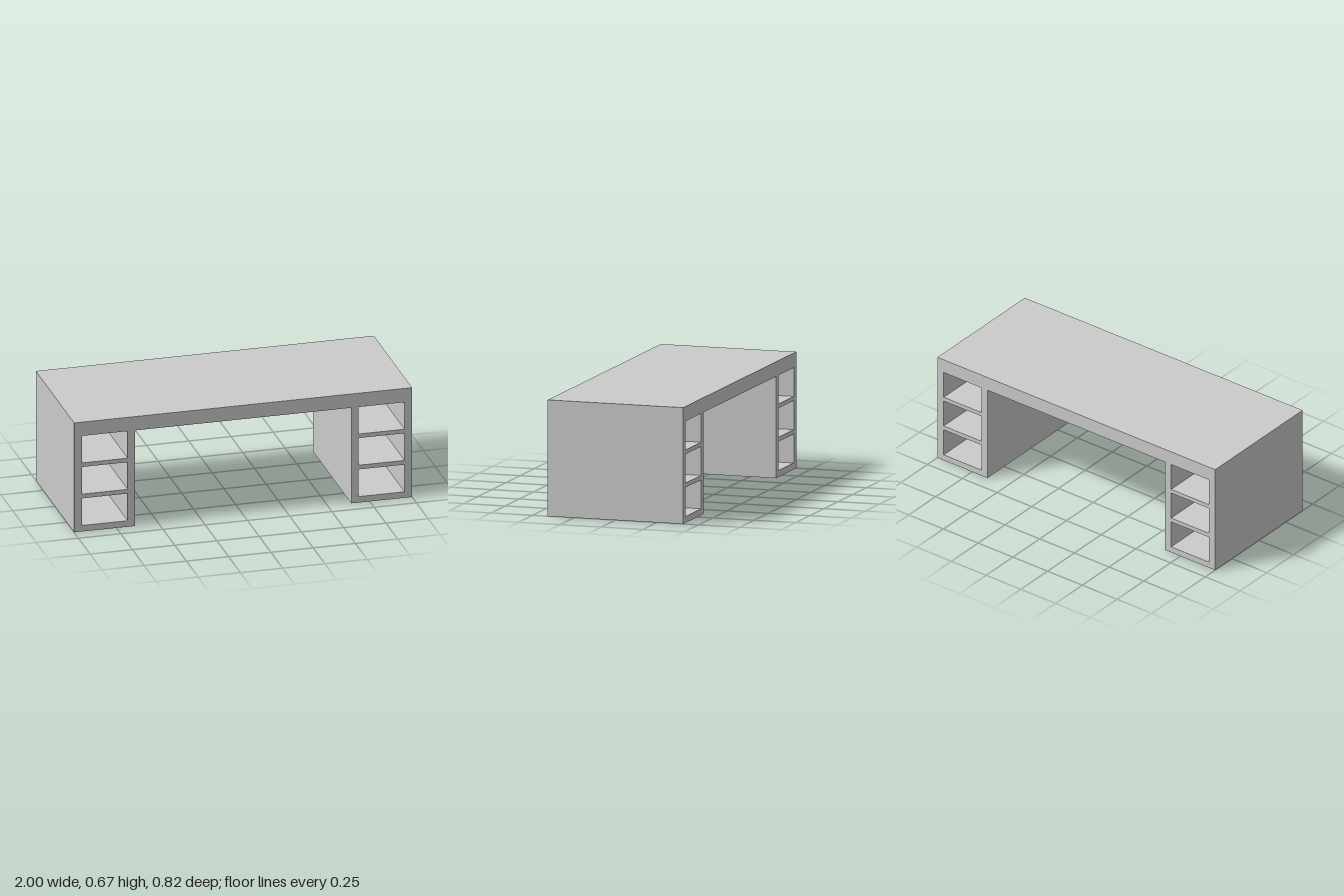
import * as THREE from 'three';

const DEPTH = 0.816;
const TOP = 0.673, UNDERSIDE = 0.588;       // desktop slab
const OUTER = 1, INNER = 0.64;              // pedestal limits in x
const BAY_OUTER = 0.955, BAY_INNER = 0.683; // open bay limits in x
const SHELVES = [                           // bottom and top of each shelf
  ['pedestalBase', 0, 0.037],
  ['lowerShelf', 0.204, 0.23],
  ['upperShelf', 0.397, 0.422],
];

export function createModel() {
  const material = new THREE.MeshStandardMaterial({ color: 0xcccccc });

  // Full-depth board spanning x0..x1 and y0..y1
  function board(name, x0, x1, y0, y1) {
    const mesh = new THREE.Mesh(new THREE.BoxGeometry(Math.abs(x1 - x0), y1 - y0, DEPTH), material);
    mesh.position.set((x0 + x1) / 2, (y0 + y1) / 2, 0);
    mesh.name = name;
    return mesh;
  }

  const desk = new THREE.Group();
  desk.name = 'desk';
  desk.add(board('desktop', -OUTER, OUTER, UNDERSIDE, TOP));

  // Two mirrored pedestals, each with three bays open front and back
  for (const [name, side] of [['leftPedestal', 1], ['rightPedestal', -1]]) {
    const pedestal = new THREE.Group();
    pedestal.name = name;
    pedestal.add(
      board('outerPanel', side * BAY_OUTER, side * OUTER, 0, UNDERSIDE),
      board('innerPanel', side * INNER, side * BAY_INNER, 0, UNDERSIDE),
    );
    for (const [shelf, y0, y1] of SHELVES) {
      pedestal.add(board(shelf, side * BAY_INNER, side * BAY_OUTER, y0, y1));
    }
    desk.add(pedestal);
  }
  return desk;
}
